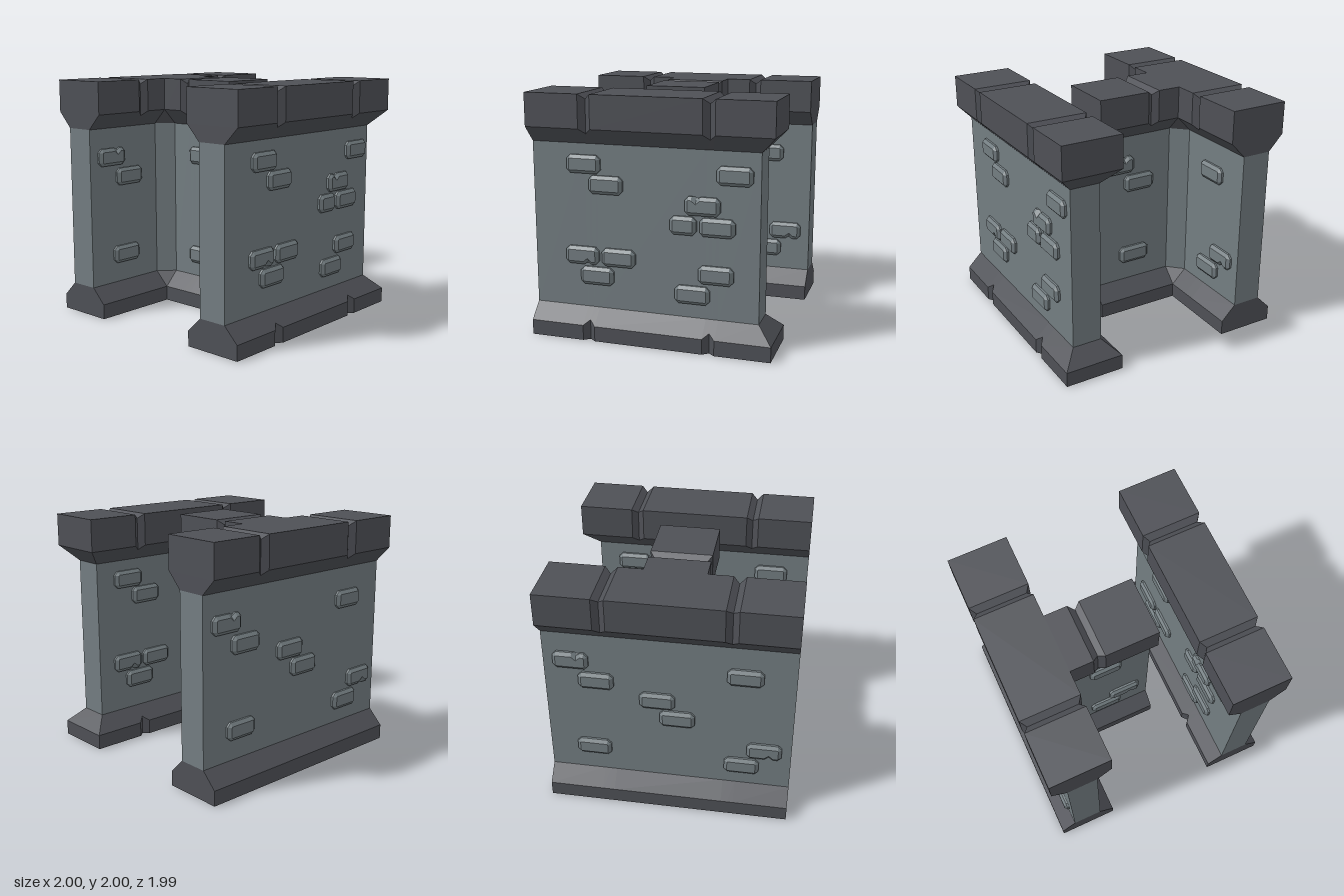
import * as THREE from 'three';

const stone = new THREE.MeshStandardMaterial({ color: 0x737d81, side: THREE.DoubleSide });
stone.name = 'grey stone';
const trim = new THREE.MeshStandardMaterial({ color: 0x4e5056, side: THREE.DoubleSide });
trim.name = 'dark trim';

const INSET = 0.125, GROOVE = 0.04;

// collects quads as separate triangles so every facet stays flat
const quad = (out, a, b, c, d) => out.push(...a, ...b, ...c, ...a, ...c, ...d);
function loft(out, rings) {
  for (let k = 0; k + 1 < rings.length; k++) {
    const r = rings[k], s = rings[k + 1];
    r.forEach((p, i) => {
      const j = (i + 1) % r.length;
      quad(out, p, r[j], s[j], s[i]);
    });
  }
}
function strip(out, a, b) {
  for (let i = 0; i + 1 < a.length; i++) quad(out, a[i], a[i + 1], b[i + 1], b[i]);
}
function mesh(name, positions, material) {
  const g = new THREE.BufferGeometry();
  g.setAttribute('position', new THREE.Float32BufferAttribute(positions, 3));
  g.computeVertexNormals();
  const m = new THREE.Mesh(g, material);
  m.name = name;
  return m;
}

// plan point: outer position, inward direction, and whether a groove bottoms out here
const pt = (x, z, ix, iz, groove = false) => ({ x, z, ix, iz, groove });
const outer = (y, dy, cut = true) => (p) => {
  const g = p.groove && cut ? GROOVE : 0;
  return [p.x + p.ix * g, y + (g ? dy : 0), p.z + p.iz * g];
};
const inner = (y) => (p) => [p.x + p.ix * INSET, y, p.z + p.iz * INSET];
const topPoint = outer(2, -GROOVE);

// wall with flared base, recessed body and flared grooved coping
function wall(name, plan, topStrips, baseGrooves) {
  const base = [], body = [], coping = [];
  loft(base, [plan.map(outer(0, 0, baseGrooves)),
    plan.map(outer(0.125, GROOVE, baseGrooves)), plan.map(inner(0.25))]);
  loft(body, [plan.map(inner(0.25)), plan.map(inner(1.6))]);
  loft(coping, [plan.map(inner(1.6)), plan.map(outer(1.73, -GROOVE)), plan.map(topPoint)]);
  topStrips.forEach(([a, b]) => strip(coping, a.map(topPoint), b.map(topPoint)));
  const group = new THREE.Group();
  group.name = name;
  group.add(mesh('base', base, trim), mesh('body', body, stone), mesh('coping', coping, trim));
  return group;
}

// raised brick with clipped corners; chip = [offset along edge, +1 top or -1 bottom]
function brick(w, h, chip) {
  const ring = (inset, corner, z, chipDepth, chipZ) => {
    const a = w / 2 - inset, b = h / 2 - inset, c = corner;
    const notch = (side) => {
      if (!chip || chip[1] !== side) return [];
      const n = [-0.035, 0, 0.035].map((d) => d
        ? [chip[0] + d, side * b, z]
        : [chip[0], side * (b - chipDepth), chipZ]);
      return side < 0 ? n : n.reverse();
    };
    return [[-a + c, -b, z], ...notch(-1), [a - c, -b, z], [a, -b + c, z], [a, b - c, z],
      [a - c, b, z], ...notch(1), [-a + c, b, z], [-a, b - c, z], [-a, -b + c, z]];
  };
  const face = ring(0.027, 0.006, 0.04, 0.03, 0.04);
  const out = [];
  loft(out, [ring(0, 0.032, -0.01, 0, -0.01), ring(0, 0.032, 0.018, 0.025, 0.012), face]);
  const flat = face.map((p) => new THREE.Vector2(p[0], p[1]));
  THREE.ShapeUtils.triangulateShape(flat, []).forEach((t) => t.forEach((i) => out.push(...face[i])));
  return mesh('brick', out, stone);
}

// bricks laid on a vertical face: u runs to the right as seen facing it
function brickFace(name, list, x, z, angle) {
  const group = new THREE.Group();
  group.name = name;
  list.forEach(([u, y, chip, w = 0.285]) => {
    const b = brick(w, 0.148, chip);
    b.position.set(u, y, 0);
    group.add(b);
  });
  group.position.set(x, 0, z);
  group.rotation.y = angle;
  return group;
}

export function createModel() {
  const model = new THREE.Group();
  const xs = [-1, -0.55, -0.5, -0.45, 0.45, 0.5, 0.55, 1];
  const isGroove = (x) => Math.abs(x) === 0.5;

  // straight wall, hipped at its left end
  const row = (z, iz, hip) => xs.map((x) => pt(x, z, hip && x === 1 ? -1 : 0, iz, isGroove(x)));
  const sFront = row(0.995, -1, true), sBack = row(0.495, 1, true);
  const straight = wall('straightWall', [...sFront, ...[...sBack].reverse()], [[sFront, sBack]], true);

  // T-shaped wall with a stem reaching forward
  const tFront = row(-0.495, -1, false), tBack = row(-0.995, 1, false);
  const stemSide = (s) => [-0.495, -0.3, -0.25, -0.2, 0.255]
    .map((z) => pt(s * 0.25, z, -s, 0, z === -0.25));
  const left = stemSide(1), right = stemSide(-1);
  const tPlan = [...tFront.slice(0, 4), pt(-0.25, -0.495, 0, -1), ...right,
    ...[...left].reverse(), pt(0.25, -0.495, 0, -1), ...tFront.slice(4), ...[...tBack].reverse()];
  const tee = wall('teeWall', tPlan, [[tFront, tBack], [right, left]], false);

  // bricks of the straight wall, the same on both faces
  const straightBricks = [
    [-0.56, 1.435], [-0.375, 1.275], [0.675, 1.41], [0.42, 1.16, [-0.05, 1]],
    [0.265, 0.998, null, 0.215], [0.54, 0.998], [-0.585, 0.685, [0.05, -1]], [-0.275, 0.685],
    [-0.46, 0.52], [0.53, 0.615], [0.34, 0.44]];
  straight.add(
    brickFace('frontBricks', straightBricks, 0, 0.87, 0),
    brickFace('rearBricks', straightBricks, 0, 0.62, Math.PI));

  // bricks of the T-shaped wall
  const leftSet = [[-0.775, 1.355, [0.05, 1]], [-0.58, 1.175], [-0.625, 0.495]];
  const rightSet = [[0.605, 1.335], [0.78, 0.615, [0.04, -1]], [0.6, 0.445]];
  const middleSet = [[-0.09, 1.03], [0.07, 0.865]];
  const shift = (list, d) => list.map(([u, ...rest]) => [u + d, ...rest]);
  tee.add(
    brickFace('rearBricks', [...leftSet, ...middleSet, ...rightSet], 0, -0.87, Math.PI),
    brickFace('frontBricks', [...leftSet, ...rightSet], 0, -0.62, 0),
    brickFace('stemLeftBricks', shift(leftSet, 0.76), 0.125, 0, Math.PI / 2),
    brickFace('stemRightBricks', shift(rightSet, -0.76), -0.125, 0, -Math.PI / 2));

  model.add(straight, tee);
  return model;
}
